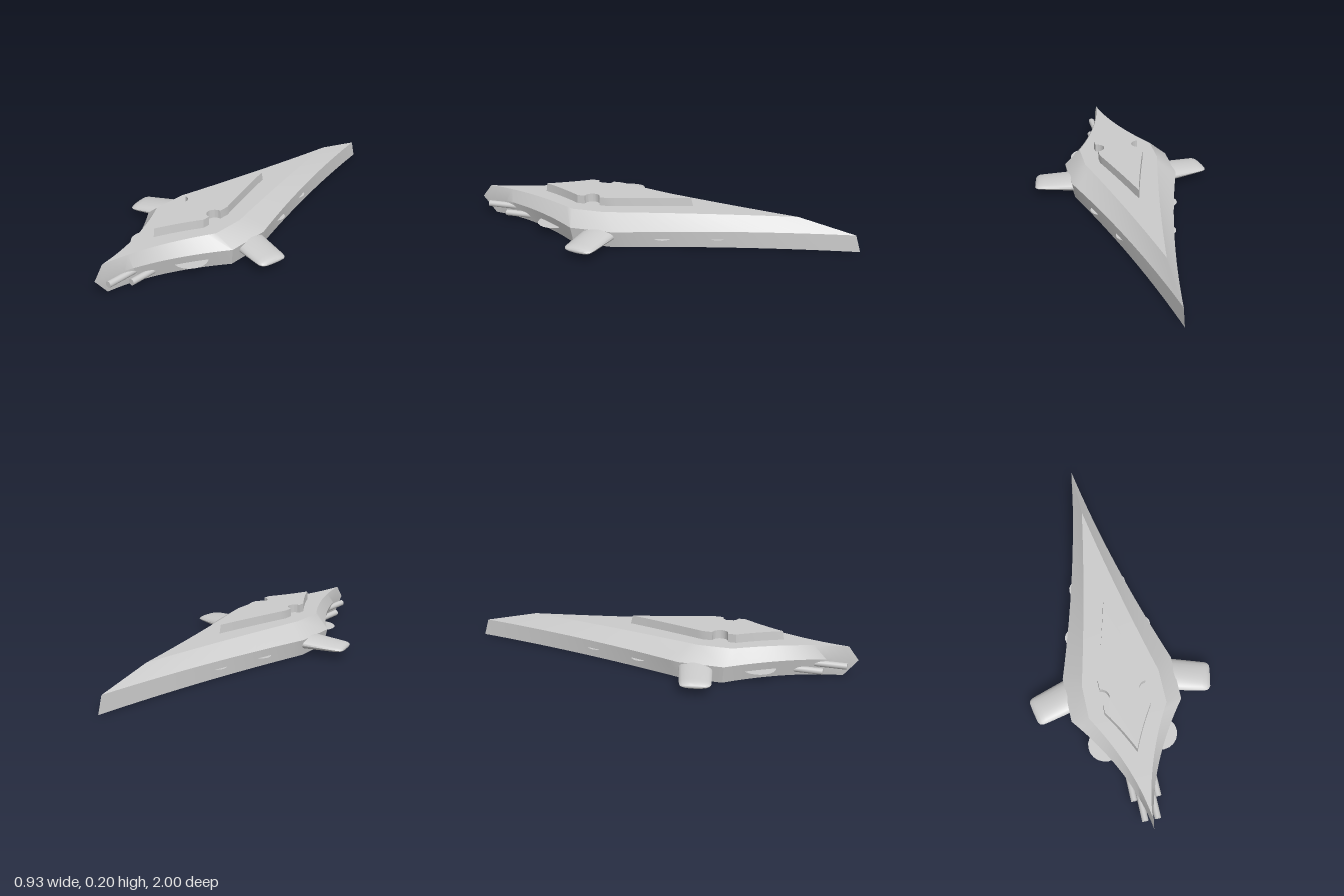
import * as THREE from 'three';
import { toCreasedNormals } from 'three/addons/utils/BufferGeometryUtils.js';

const material = new THREE.MeshStandardMaterial({ color: 0xcccccc });
const sheetMaterial = new THREE.MeshStandardMaterial({ color: 0xcccccc, side: THREE.DoubleSide });

function addMesh(parent, name, geometry, mat = material) {
  const mesh = new THREE.Mesh(geometry, mat);
  mesh.name = name;
  parent.add(mesh);
  return mesh;
}

// Skin a list of closed cross-sections (arrays of [x, y, z])
function loft(sections, crease) {
  const pos = [];
  for (let i = 0; i < sections.length - 1; i++) {
    const s = sections[i], t = sections[i + 1], n = s.length;
    for (let j = 0; j < n; j++) {
      const k = (j + 1) % n;
      pos.push(...s[j], ...s[k], ...t[k], ...s[j], ...t[k], ...t[j]);
    }
  }
  const g = new THREE.BufferGeometry();
  g.setAttribute('position', new THREE.Float32BufferAttribute(pos, 3));
  return toCreasedNormals(g, crease);
}

// Half outline of one deck level, from stern tip to bow tip, as [x, z] points
function outline(stern, sternCtrl, back, front, bowCtrl, bow) {
  const v = (p) => new THREE.Vector2(...p);
  const a = new THREE.QuadraticBezierCurve(v(stern), v(sternCtrl), v(back));
  const b = new THREE.QuadraticBezierCurve(v(front), v(bowCtrl), v(bow));
  return [...a.getPoints(20), ...b.getPoints(16)];
}

function hullGeometry() {
  const levels = [
    { y: 0, pts: outline([0, -1], [0.085, -0.42], [0.265, 0.185], [0.265, 0.39], [0.04, 0.66], [0, 0.93]) },
    { y: 0.086, pts: outline([0, -0.975], [0.09, -0.4], [0.28, 0.175], [0.28, 0.4], [0.045, 0.7], [0, 1]) },
    { y: 0.152, pts: outline([0, -0.69], [0.08, -0.22], [0.195, 0.25], [0.195, 0.42], [0.035, 0.69], [0, 0.95]) },
  ];
  const sections = levels[0].pts.map((_, i) => {
    const left = levels.map(({ y, pts }) => [pts[i].x, y, pts[i].y]);
    const right = left.map(([x, y, z]) => [-x, y, z]).reverse();
    return [...left, ...right];
  });
  return loft(sections, 0.5);
}

// Raised diamond deck with a round notch in each side
function deckGeometry() {
  const w = 0.115;
  const s = new THREE.Shape();
  s.moveTo(0, 0.16);
  s.quadraticCurveTo(0.052, -0.045, w, -0.25);
  s.lineTo(w, -0.3);
  s.absarc(w, -0.34, 0.04, Math.PI / 2, Math.PI * 1.5, false);
  s.lineTo(w, -0.42);
  s.quadraticCurveTo(0.05, -0.52, 0, -0.635);
  s.quadraticCurveTo(-0.05, -0.52, -w, -0.42);
  s.lineTo(-w, -0.38);
  s.absarc(-w, -0.34, 0.04, -Math.PI / 2, Math.PI / 2, false);
  s.lineTo(-w, -0.25);
  s.quadraticCurveTo(-0.052, -0.045, 0, 0.16);
  const g = new THREE.ExtrudeGeometry(s, { depth: 0.05, bevelEnabled: false, curveSegments: 12 });
  g.rotateX(-Math.PI / 2).translate(0, 0.145, 0);
  // Rake the ends slightly inward at the top
  const p = g.attributes.position;
  for (let i = 0; i < p.count; i++) {
    if (p.getY(i) > 0.17) p.setZ(i, 0.34 + (p.getZ(i) - 0.34) * 0.975);
  }
  return toCreasedNormals(g, 0.5);
}

// Stubby fin with a rounded, swept tip
function finGeometry() {
  // x, rear z, front z, low y, high y
  const stations = [
    [0.2, 0.15, 0.33, 0.022, 0.1],
    [0.28, 0.175, 0.347, 0.024, 0.09],
    [0.42, 0.22, 0.372, 0.028, 0.07],
    [0.445, 0.228, 0.375, 0.03, 0.066],
    [0.46, 0.236, 0.37, 0.034, 0.06],
    [0.469, 0.25, 0.358, 0.04, 0.053],
    [0.471, 0.3, 0.302, 0.045, 0.046],
  ];
  const n = 20;
  const sections = stations.map(([x, z0, z1, y0, y1]) =>
    Array.from({ length: n }, (_, j) => {
      const a = (j / n) * Math.PI * 2;
      const z = (z0 + z1) / 2 + ((z1 - z0) / 2) * Math.sin(a);
      const sweep = Math.max(0, (x - 0.28) / 0.19) * (z - 0.235) * 0.2;
      return [x - sweep, (y0 + y1) / 2 + ((y1 - y0) / 2) * Math.cos(a), z];
    }));
  return loft(sections, 0.8);
}

// Forward-pointing cylinder
function barrelGeometry(x, y, z0, z1) {
  const g = new THREE.CylinderGeometry(0.016, 0.016, z1 - z0, 20);
  return g.rotateX(Math.PI / 2).translate(x, y, (z0 + z1) / 2);
}

// Thin horizontal plate
function plateGeometry(x, z, r) {
  return new THREE.CircleGeometry(r, 20).rotateX(-Math.PI / 2).translate(x, 0.045, z);
}

export function createModel() {
  const model = new THREE.Group();
  model.name = 'ship';
  addMesh(model, 'hull', hullGeometry());
  addMesh(model, 'upperDeck', deckGeometry());

  for (const side of [1, -1]) {
    const half = new THREE.Group();
    half.name = side > 0 ? 'leftFittings' : 'rightFittings';
    half.scale.x = side;
    addMesh(half, 'fin', finGeometry());
    addMesh(half, 'innerBarrel', barrelGeometry(0.031, 0.06, 0.7, 0.95));
    addMesh(half, 'outerBarrel', barrelGeometry(0.06, 0.031, 0.6, 0.84));
    addMesh(half, 'bowPlate', plateGeometry(0.14, 0.54, 0.085), sheetMaterial);
    addMesh(half, 'midPlate', plateGeometry(0.175, -0.045, 0.05), sheetMaterial);
    addMesh(half, 'sternPlate', plateGeometry(0.098, -0.305, 0.052), sheetMaterial);
    model.add(half);
  }
  return model;
}
